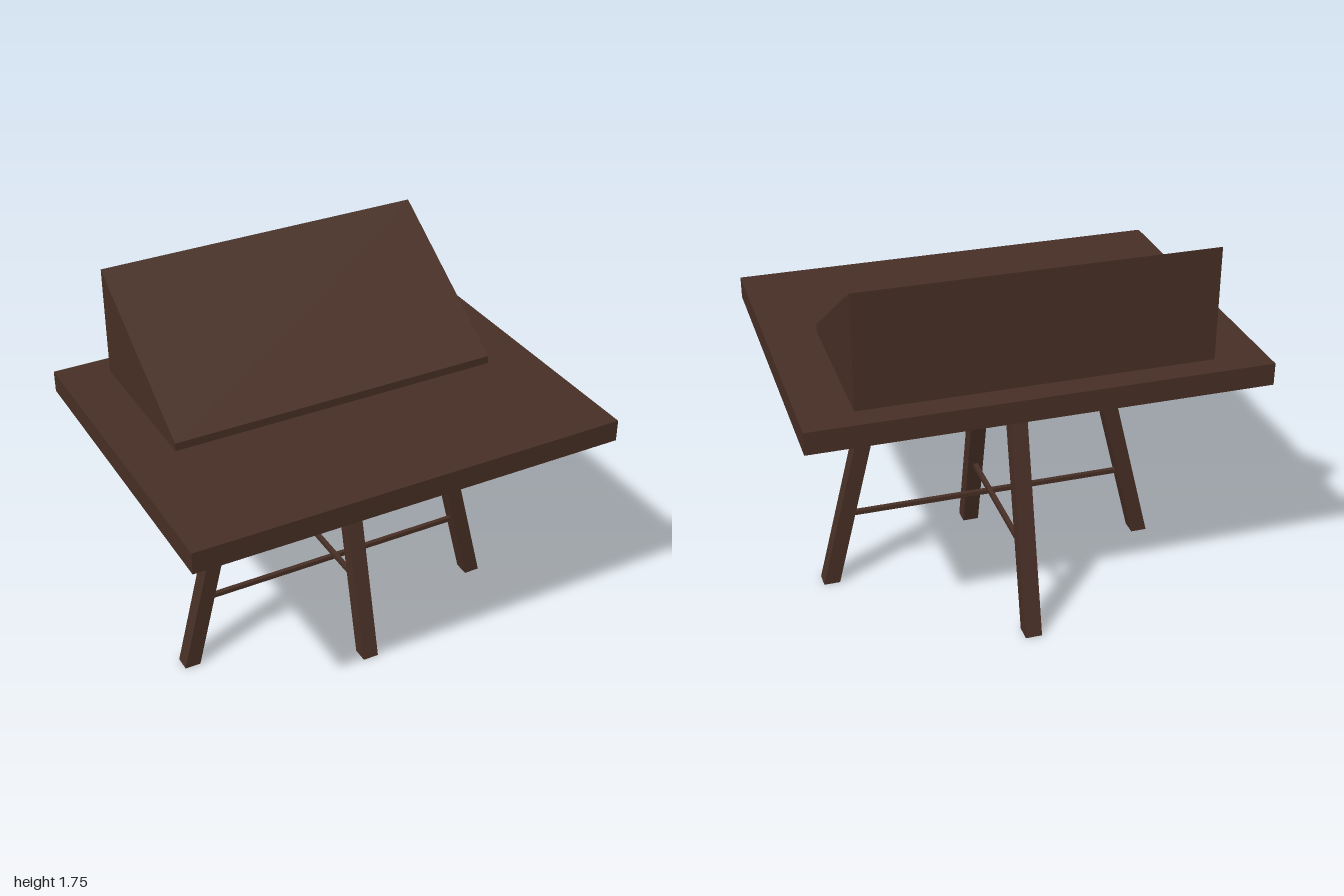
import * as THREE from 'three';

export function createModel() {
  const model = new THREE.Group();
  const darkWood = new THREE.MeshStandardMaterial({ color: 0x472f25 });
  darkWood.name = 'darkWood';

  const add = (name, geometry, x = 0, y = 0, z = 0) => {
    const mesh = new THREE.Mesh(geometry, darkWood);
    mesh.name = name;
    mesh.position.set(x, y, z);
    model.add(mesh);
  };

  // Table top
  add('tableTop', new THREE.BoxGeometry(2, 0.1, 1.534), 0, 1.19, 0);

  // Sloped writing desk: side profile extruded across the width
  const profile = new THREE.Shape([
    new THREE.Vector2(-0.09, 1.24),
    new THREE.Vector2(0.655, 1.24),
    new THREE.Vector2(0.655, 1.75),
    new THREE.Vector2(-0.09, 1.277),
  ]);
  const desk = new THREE.ExtrudeGeometry(profile, { depth: 1.546, bevelEnabled: false });
  desk.translate(0, 0, -0.773).rotateY(Math.PI / 2);
  add('slopedDesk', desk);

  // Splayed legs: boxes sheared outwards so feet and tops stay level
  const legHeight = 1.14, splay = 0.28, legWidth = 0.075;
  const leg = (name, topX, topZ, dirX, dirZ) => {
    const g = new THREE.BoxGeometry(legWidth, legHeight, legWidth).translate(0, legHeight / 2, 0);
    const p = g.attributes.position;
    for (let i = 0; i < p.count; i++) {
      const offset = splay * (1 - p.getY(i) / legHeight);
      p.setX(i, p.getX(i) + dirX * offset);
      p.setZ(i, p.getZ(i) + dirZ * offset);
    }
    g.computeVertexNormals();
    add(name, g, topX, 0, topZ);
  };
  const cx = 0.023;
  leg('rightLeg', -0.457, 0.002, -1, 0);
  leg('leftLeg', 0.513, 0.002, 1, 0);
  leg('frontLeg', cx, 0.058, 0, 1);
  leg('backLeg', cx, -0.378, 0, -1);

  // Crossing stretchers, one resting on the other
  add('sideStretcher', new THREE.BoxGeometry(1.34, 0.021, 0.021), 0.028, 0.346, 0.002);
  add('frontStretcher', new THREE.BoxGeometry(0.021, 0.021, 0.8), cx, 0.365, -0.16);

  return model;
}
